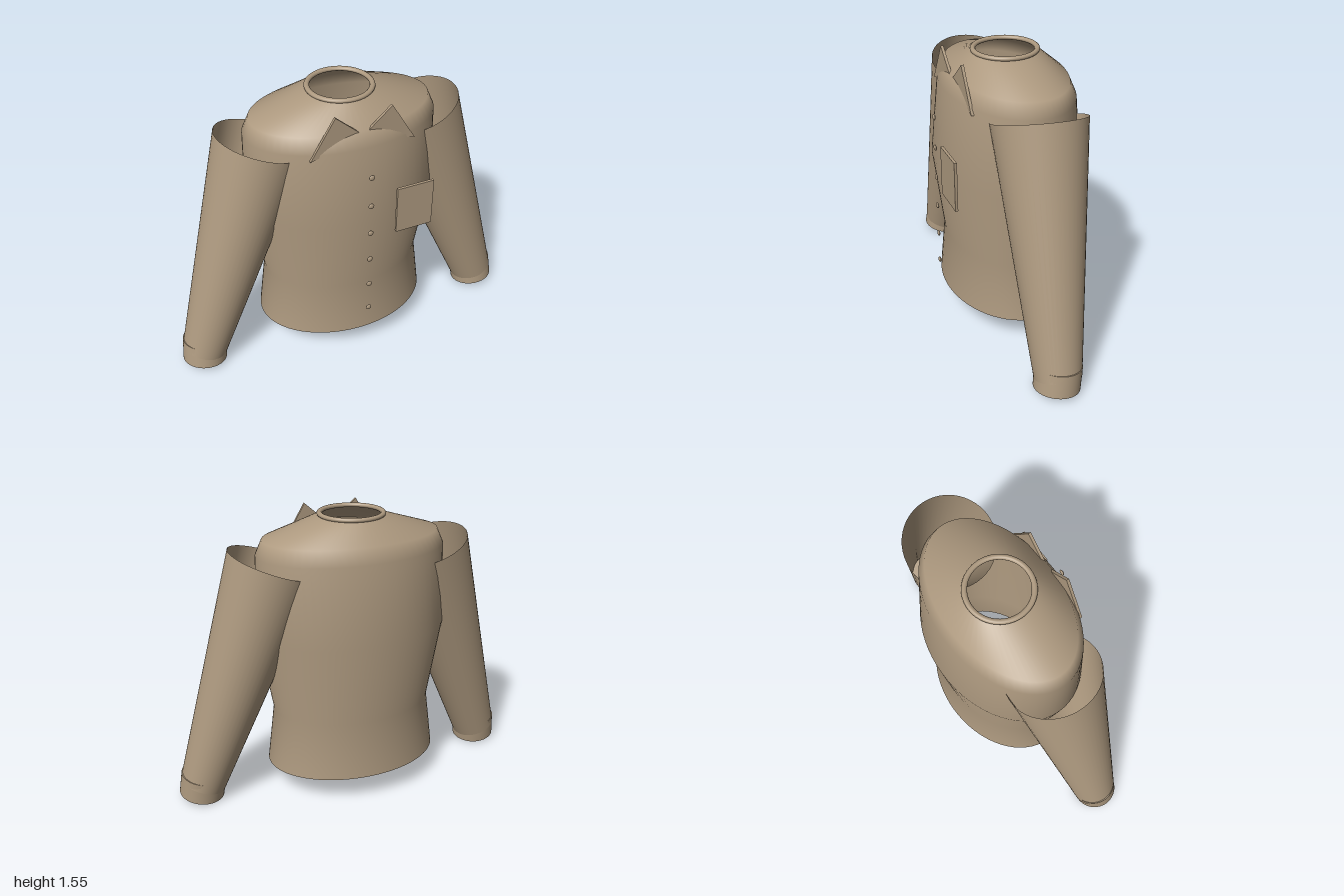
import * as THREE from 'three';
import { mergeVertices } from 'three/addons/utils/BufferGeometryUtils.js';

const cloth = new THREE.MeshStandardMaterial({ color: 0xad997f, side: THREE.DoubleSide });
cloth.name = 'tanCloth';

const CENTRE_Z = -0.015;

function part(name, geometry) {
  const mesh = new THREE.Mesh(geometry, cloth);
  mesh.name = name;
  return mesh;
}

// Body shell: a lathe whose rings are squeezed into ellipses [y, half width, half depth]
function bodyGeometry() {
  const rings = [
    [0.16, 0.49, 0.355], [0.48, 0.45, 0.327], [0.93, 0.53, 0.38],
    [1.36, 0.523, 0.33], [1.44, 0.488, 0.295], [1.54, 0.168, 0.175],
  ];
  let geo = new THREE.LatheGeometry(rings.map(([y, w]) => new THREE.Vector2(w, y)), 64);
  const pos = geo.attributes.position;
  for (let i = 0; i < pos.count; i++) {
    const [, w, d] = rings[i % rings.length];
    pos.setZ(i, pos.getZ(i) * d / w);
  }
  geo.deleteAttribute('normal');
  geo.deleteAttribute('uv');
  geo = mergeVertices(geo);
  geo.computeVertexNormals();
  return geo;
}

// Tapered round piece running between two centre points
function tapered(name, bottom, top, rBottom, rTop, open) {
  const axis = top.clone().sub(bottom);
  const mesh = part(name, new THREE.CylinderGeometry(rTop, rBottom, axis.length(), 48, 1, open));
  mesh.position.copy(bottom).addScaledVector(axis, 0.5);
  mesh.quaternion.setFromUnitVectors(new THREE.Vector3(0, 1, 0), axis.normalize());
  return mesh;
}

export function createModel() {
  const model = new THREE.Group();
  model.name = 'shirt';

  const body = part('body', bodyGeometry());
  body.position.z = CENTRE_Z;
  model.add(body);

  // Rolled neckband
  const neck = part('neckband', new THREE.TorusGeometry(0.167, 0.0145, 12, 64));
  neck.rotation.x = Math.PI / 2;
  neck.scale.z = 0.85;
  neck.position.set(0, 1.547, CENTRE_Z - 0.002);
  model.add(neck);

  for (const [side, s] of [['left', 1], ['right', -1]]) {
    const at = (x, y, z) => new THREE.Vector3(s * x, y, z);

    // Open sleeve and closed cuff
    model.add(tapered(side + 'Sleeve', at(0.87, 0.09, 0.053), at(0.436, 1.327, CENTRE_Z), 0.125, 0.245, true));
    model.add(tapered(side + 'Cuff', at(0.877, 0.03, 0.062), at(0.862, 0.156, 0.046), 0.123, 0.123, false));

    // Collar point: a thin triangle sunk into the chest
    const shape = new THREE.Shape([
      new THREE.Vector2(s * 0.152, 1.548),
      new THREE.Vector2(s * 0.285, 1.33),
      new THREE.Vector2(s * 0.0, 1.415),
    ]);
    const collar = part(side + 'CollarPoint', new THREE.ExtrudeGeometry(shape, { depth: 0.015, bevelEnabled: false }));
    collar.position.z = 0.265;
    model.add(collar);
  }

  // Row of flattened buttons
  const buttonGeo = new THREE.SphereGeometry(0.016, 20, 12);
  for (let i = 0; i < 6; i++) {
    const button = part('button' + (i + 1), buttonGeo);
    button.scale.z = 0.45;
    button.position.set(0, 1.225 - i * 0.176, 0.38);
    model.add(button);
  }

  // Chest pocket
  const pocket = part('pocket', new THREE.BoxGeometry(0.207, 0.273, 0.015));
  pocket.position.set(0.243, 0.986, 0.39);
  model.add(pocket);

  return model;
}
